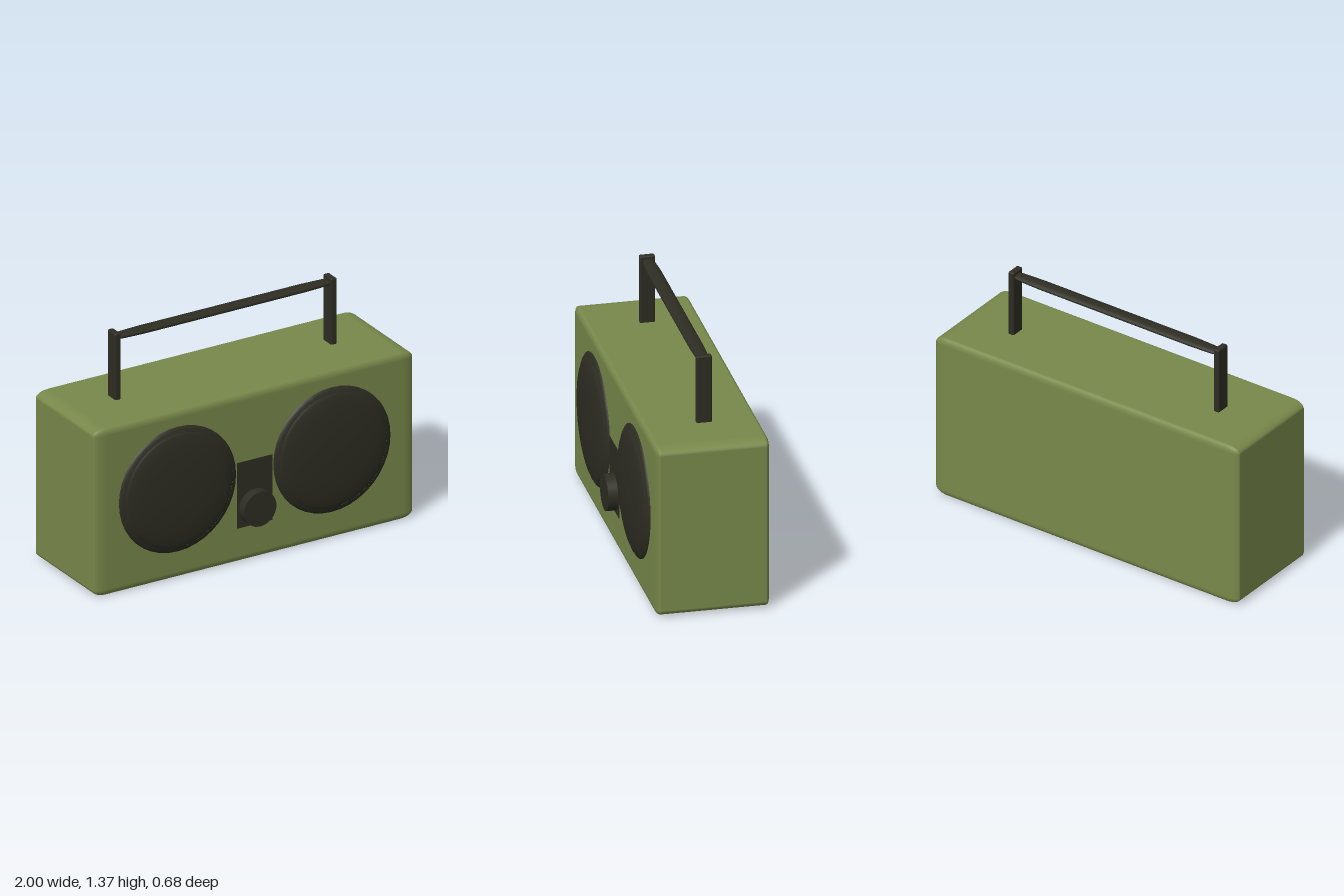
import * as THREE from 'three';
import { RoundedBoxGeometry } from 'three/addons/geometries/RoundedBoxGeometry.js';

export function createModel() {
  const model = new THREE.Group();
  const olive = new THREE.MeshStandardMaterial({ color: 0x78884a });
  olive.name = 'olive case';
  const charcoal = new THREE.MeshStandardMaterial({ color: 0x2d2d23 });
  charcoal.name = 'charcoal trim';

  const add = (name, geometry, material, x, y, z) => {
    const mesh = new THREE.Mesh(geometry, material);
    mesh.name = name;
    mesh.position.set(x, y, z);
    model.add(mesh);
    return mesh;
  };
  const v = (x, y) => new THREE.Vector2(x, y);

  // Case: a bevelled cube squashed to size, so its edges are wider along x
  const front = 0.284;
  const caseGeometry = new RoundedBoxGeometry(2, 2, 2, 4, 0.08).scale(1, 0.49, 0.3125);
  add('case', caseGeometry, olive, 0, 0.49, front - 0.3125);

  // Speaker: narrow sloping rim, then a shallow domed grille
  const rim = new THREE.LatheGeometry(
    [v(0.366, -0.01), v(0.366, 0.002), v(0.352, 0.012), v(0.335, 0.018)], 40);
  const domeProfile = [];
  for (let i = 0; i <= 10; i++) {
    const a = (i / 10) * Math.PI / 2;
    domeProfile.push(v(0.337 * Math.cos(a), 0.014 + 0.036 * Math.sin(a)));
  }
  const dome = new THREE.LatheGeometry(domeProfile, 40);
  rim.rotateX(Math.PI / 2);
  dome.rotateX(Math.PI / 2);

  // Handle post
  const post = new RoundedBoxGeometry(0.036, 0.405, 0.084, 2, 0.008);

  for (const [side, s] of [['left', 1], ['right', -1]]) {
    add(side + 'SpeakerRim', rim, charcoal, s * 0.483, 0.522, front);
    add(side + 'SpeakerGrille', dome, charcoal, s * 0.483, 0.522, front);
    add(side + 'HandlePost', post, charcoal, s * 0.675, 1.1635, -0.047);
  }

  // Handle bar: flattened round grip, tapering towards the posts
  const bar = new THREE.LatheGeometry([
    v(0.029, -0.665), v(0.034, -0.64), v(0.037, -0.58), v(0.04, -0.5),
    v(0.04, 0.5), v(0.037, 0.58), v(0.034, 0.64), v(0.029, 0.665),
  ], 20);
  bar.rotateZ(Math.PI / 2).scale(1, 0.46, 1);
  add('handleBar', bar, charcoal, 0, 1.333, -0.05);

  // Control panel and knob
  add('controlPanel', new THREE.BoxGeometry(0.222, 0.384, 0.008), charcoal, 0, 0.392, front);
  const knob = new THREE.CylinderGeometry(0.101, 0.101, 0.064, 32).rotateX(Math.PI / 2);
  add('tuningKnob', knob, charcoal, 0, 0.31, front + 0.027);

  return model;
}
